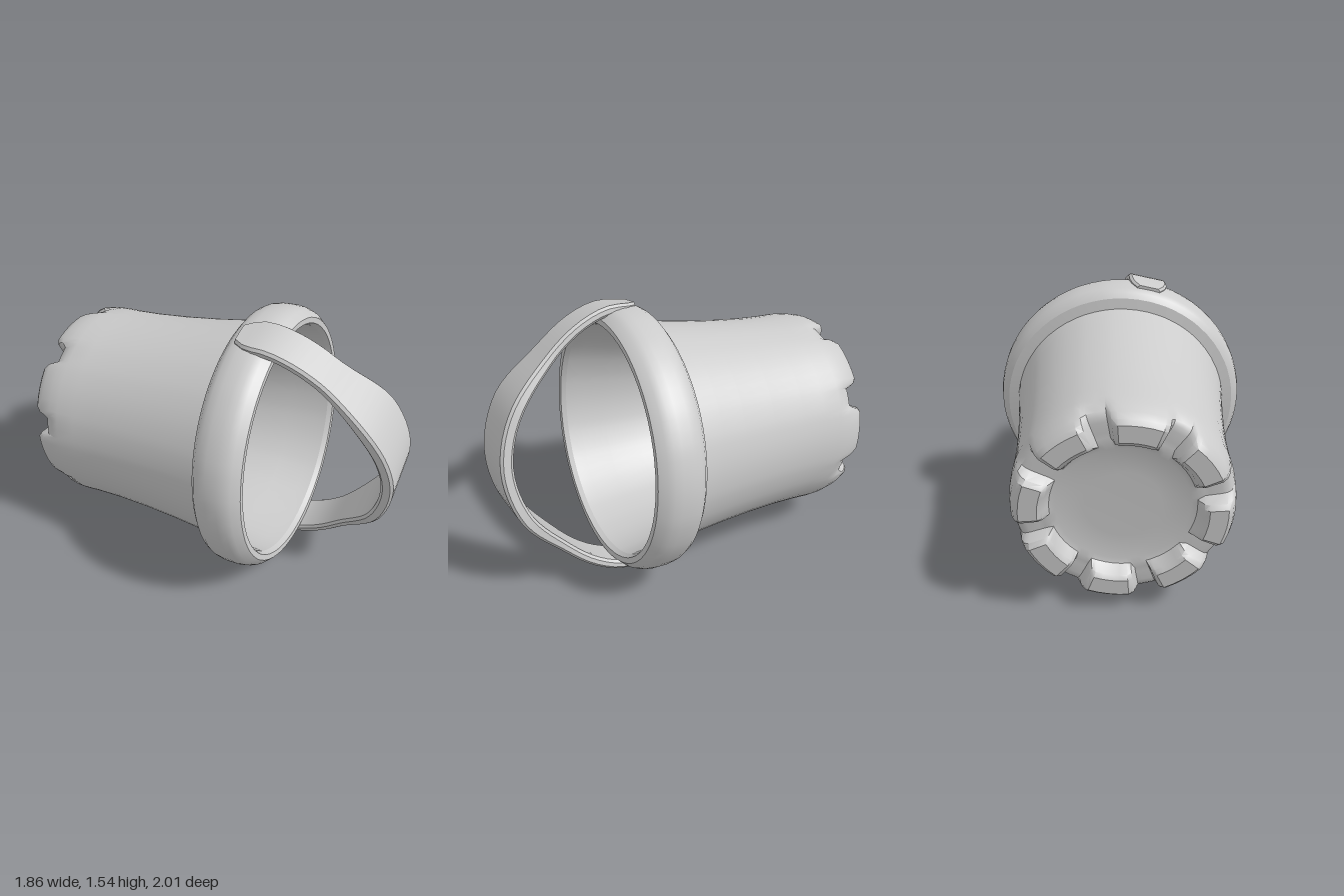
import * as THREE from 'three';
import { toCreasedNormals } from 'three/addons/utils/BufferGeometryUtils.js';

const rad = THREE.MathUtils.degToRad;
const material = new THREE.MeshStandardMaterial({ color: 0xcccccc, side: THREE.DoubleSide });

// Skin a list of closed rings (each an array of [x, y, z]) into one surface
function skin(name, rings, crease) {
  const n = rings[0].length;
  const index = [];
  for (let j = 0; j < rings.length - 1; j++) {
    for (let i = 0; i < n; i++) {
      const k = (i + 1) % n;
      const a = j * n + i, b = j * n + k, c = a + n, d = b + n;
      index.push(a, b, c, b, d, c);
    }
  }
  const geometry = new THREE.BufferGeometry();
  geometry.setAttribute('position', new THREE.Float32BufferAttribute(rings.flat(2), 3));
  geometry.setIndex(index);
  const mesh = new THREE.Mesh(toCreasedNormals(geometry, crease), material);
  mesh.name = name;
  return mesh;
}

// Columns round the bucket: angle, and how much of a battlement stands there
const columns = [];
const battlement = [[-22.5, 0], [-17.5, 0], [-15, 0.75], [-12, 1], [-6, 1],
  [0, 1], [6, 1], [12, 1], [15, 0.75], [17.5, 0]];
for (let k = 0; k < 8; k++) {
  for (const [offset, amount] of battlement) columns.push([rad(k * 45 + offset), amount]);
}

// Turn a profile of [radius, height, notchRadius, notchHeight] round the axis
function turned(name, profile, crease) {
  const rings = profile.map(([r, h, nr = r, nh = h]) => columns.map(([angle, m]) => {
    const radius = THREE.MathUtils.lerp(nr, r, m);
    return [radius * Math.cos(angle), THREE.MathUtils.lerp(nh, h, m), radius * Math.sin(angle)];
  }));
  return skin(name, rings, crease);
}

// Strap handle: a bevelled section swept over a bow, wider and thicker at the grip
function makeHandle() {
  const half = [[-0.742, 0.365], [-0.742, 0.53], [-0.67, 0.7], [-0.52, 0.88], [-0.29, 1.08]];
  const points = [...half, [0, 1.155], ...half.map(([z, y]) => [-z, y]).reverse()];
  const curve = new THREE.CatmullRomCurve3(points.map(([z, y]) => new THREE.Vector3(0, y, z)));
  const steps = 44;
  const rings = [];
  for (let j = 0; j <= steps; j++) {
    const t = j / steps;
    const p = curve.getPointAt(t), tan = curve.getTangentAt(t);
    const fromEnd = Math.min(t, 1 - t);
    const grip = THREE.MathUtils.smoothstep(fromEnd, 0.2, 0.38);
    const w = (0.115 + 0.06 * grip) * (0.6 + 0.4 * Math.sqrt(Math.min(1, fromEnd / 0.045)));
    const h = 0.026 + 0.008 * grip, b = 0.014;
    const section = [[w, h - b], [w - b, h], [b - w, h], [-w, h - b],
      [-w, b - h], [b - w, -h], [w - b, -h], [w, b - h]];
    rings.push(section.map(([x, q]) => [x, p.y + q * tan.z, p.z - q * tan.y]));
  }
  // Close both ends
  const cap = (ring) => {
    const mid = [0, 1, 2].map((c) => ring.reduce((s, v) => s + v[c], 0) / ring.length);
    return ring.map(() => mid);
  };
  rings.unshift(cap(rings[0]));
  rings.push(cap(rings[rings.length - 1]));
  const handle = skin('handle', rings, 0.6);
  handle.rotation.y = rad(4);
  return handle;
}

export function createModel() {
  const bucket = new THREE.Group();
  bucket.name = 'bucket';

  // Inner floor and inner wall
  bucket.add(turned('inside', [
    [0.001, -0.3], [0.3, -0.3], [0.555, -0.3], [0.565, -0.1], [0.585, 0.1],
    [0.615, 0.3], [0.645, 0.46], [0.655, 0.54],
  ], 0.5));

  // Thick collar round the mouth, with a bevelled front edge
  bucket.add(turned('rim', [
    [0.655, 0.54], [0.668, 0.57], [0.7, 0.572], [0.735, 0.535], [0.75, 0.5], [0.757, 0.46],
    [0.757, 0.4], [0.75, 0.355], [0.735, 0.325], [0.705, 0.3], [0.63, 0.285],
  ], 0.45));

  // Outer wall, flaring to the rim, ending in eight battlements and a sunken base
  bucket.add(turned('body', [
    [0.645, 0.3], [0.628, 0.15], [0.612, 0], [0.596, -0.2], [0.586, -0.4], [0.585, -0.55],
    [0.588, -0.66], [0.585, -0.72, 0.58, -0.7],
    [0.572, -0.79, 0.56, -0.75], [0.555, -0.83, 0.54, -0.765], [0.53, -0.853, 0.51, -0.77],
    [0.435, -0.853, 0.45, -0.77], [0.41, -0.835, 0.42, -0.77],
    [0.38, -0.775], [0.35, -0.765], [0.2, -0.76], [0.001, -0.76],
  ], 0.6));

  bucket.add(makeHandle());
  bucket.rotation.y = rad(9);

  // Lay the bucket over, mouth to the front left and slightly raised
  const axis = new THREE.Vector3(0.637, 0.107, 0.765).normalize();
  const side = new THREE.Vector3(axis.z, 0, -axis.x).normalize();
  const third = new THREE.Vector3().crossVectors(side, axis);
  const model = new THREE.Group();
  model.name = 'sandBucket';
  const lying = new THREE.Group();
  lying.name = 'lyingBucket';
  lying.quaternion.setFromRotationMatrix(new THREE.Matrix4().makeBasis(side, axis, third));
  lying.position.set(0.021, 0.737, -0.012);
  lying.add(bucket);
  model.add(lying);
  return model;
}
